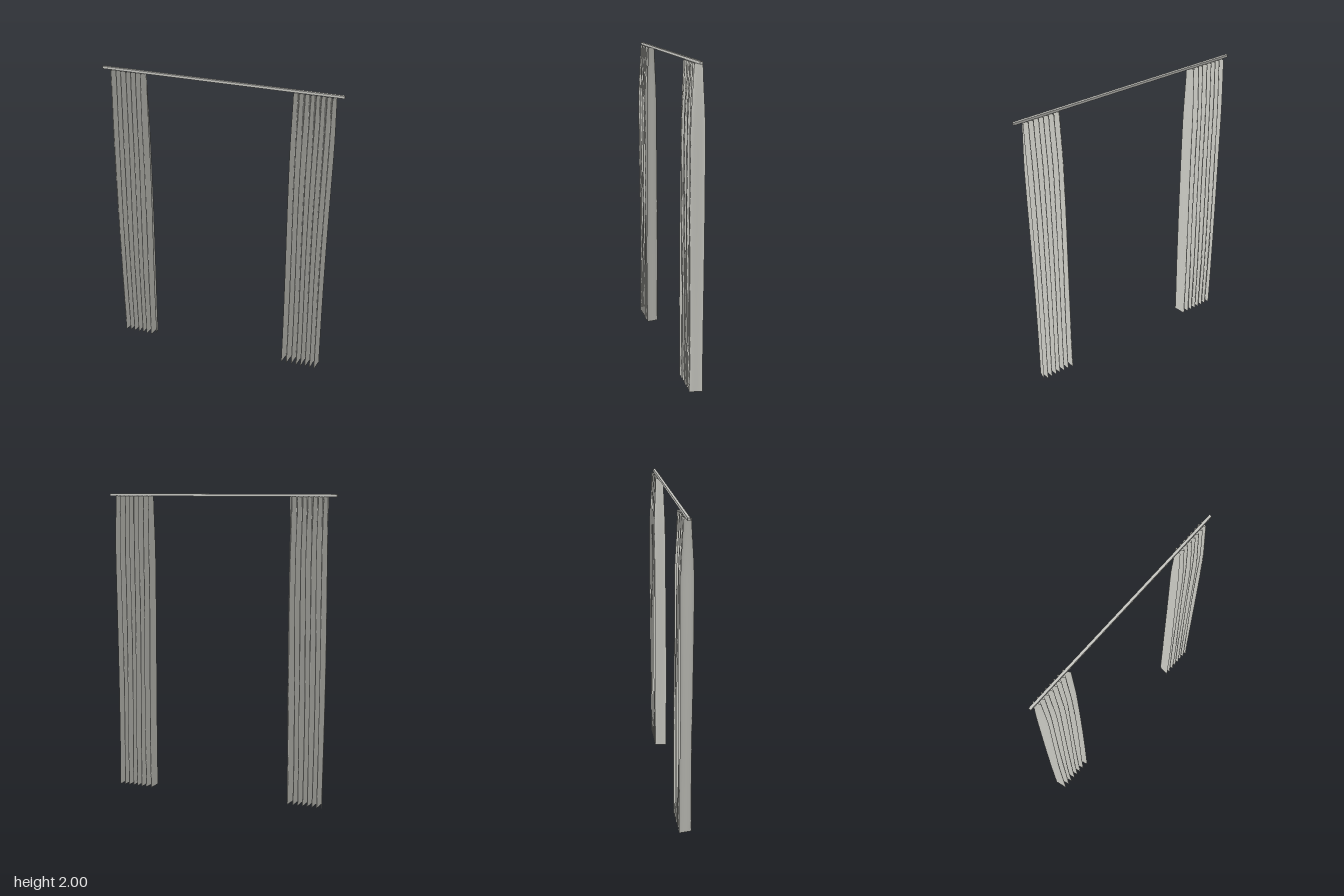
import * as THREE from 'three';

const fabric = new THREE.MeshStandardMaterial({ color: 0xcbcbc4, side: THREE.DoubleSide });
fabric.name = 'curtain fabric';
const metal = new THREE.MeshStandardMaterial({ color: 0xc4c4bf });
metal.name = 'rail metal';

const TOP = 1.985;

// x positions of the fold crests, alternating back and front
const leftFolds = [0.465, 0.482, 0.5, 0.518, 0.535, 0.551, 0.569, 0.585, 0.601, 0.615, 0.632, 0.649, 0.665, 0.681, 0.697, 0.715];
const rightFolds = [-0.72, -0.704, -0.686, -0.67, -0.654, -0.639, -0.621, -0.604, -0.589, -0.571, -0.555, -0.54, -0.523, -0.505, -0.485, -0.462];

// Pleated sheet: a plane whose columns follow the crests and whose depth swells below the rail
function curtain(name, crests, firstSide, seed) {
  const steps = 6, spans = crests.length - 1;
  const geo = new THREE.PlaneGeometry(1, TOP, spans * steps, 24);
  const pos = geo.attributes.position;
  for (let i = 0; i < pos.count; i++) {
    const t = (pos.getX(i) + 0.5) * spans;
    const y = pos.getY(i) + TOP / 2;
    const k = Math.min(Math.floor(t + 1e-6), spans - 1);
    const x = THREE.MathUtils.lerp(crests[k], crests[k + 1], t - k);
    // narrow where gathered at the rail, full lower down
    const swell = THREE.MathUtils.smoothstep(TOP - y, -0.1, 0.4);
    const depth = 0.022 + 0.018 * swell + 0.004 * Math.sin(y * 2.2 + k * 1.7 + seed) * swell * Math.min(1, y * 2);
    const sway = 0.004 * Math.sin(y * 2.6 + k * 0.15 + seed) * swell;
    pos.setXYZ(i, x + sway, y, firstSide * Math.cos(t * Math.PI) * depth);
  }
  geo.computeVertexNormals();
  const mesh = new THREE.Mesh(geo, fabric);
  mesh.name = name;
  return mesh;
}

export function createModel() {
  const group = new THREE.Group();
  group.name = 'curtains';

  // Straight rail across the top
  const rail = new THREE.Mesh(new THREE.BoxGeometry(1.53, 0.016, 0.016), metal);
  rail.name = 'curtainRail';
  rail.position.y = 1.992;
  group.add(rail);

  // Gathered curtains at both ends
  group.add(curtain('leftCurtain', leftFolds, 1, 0.6));
  group.add(curtain('rightCurtain', rightFolds, -1, 2.4));
  return group;
}
